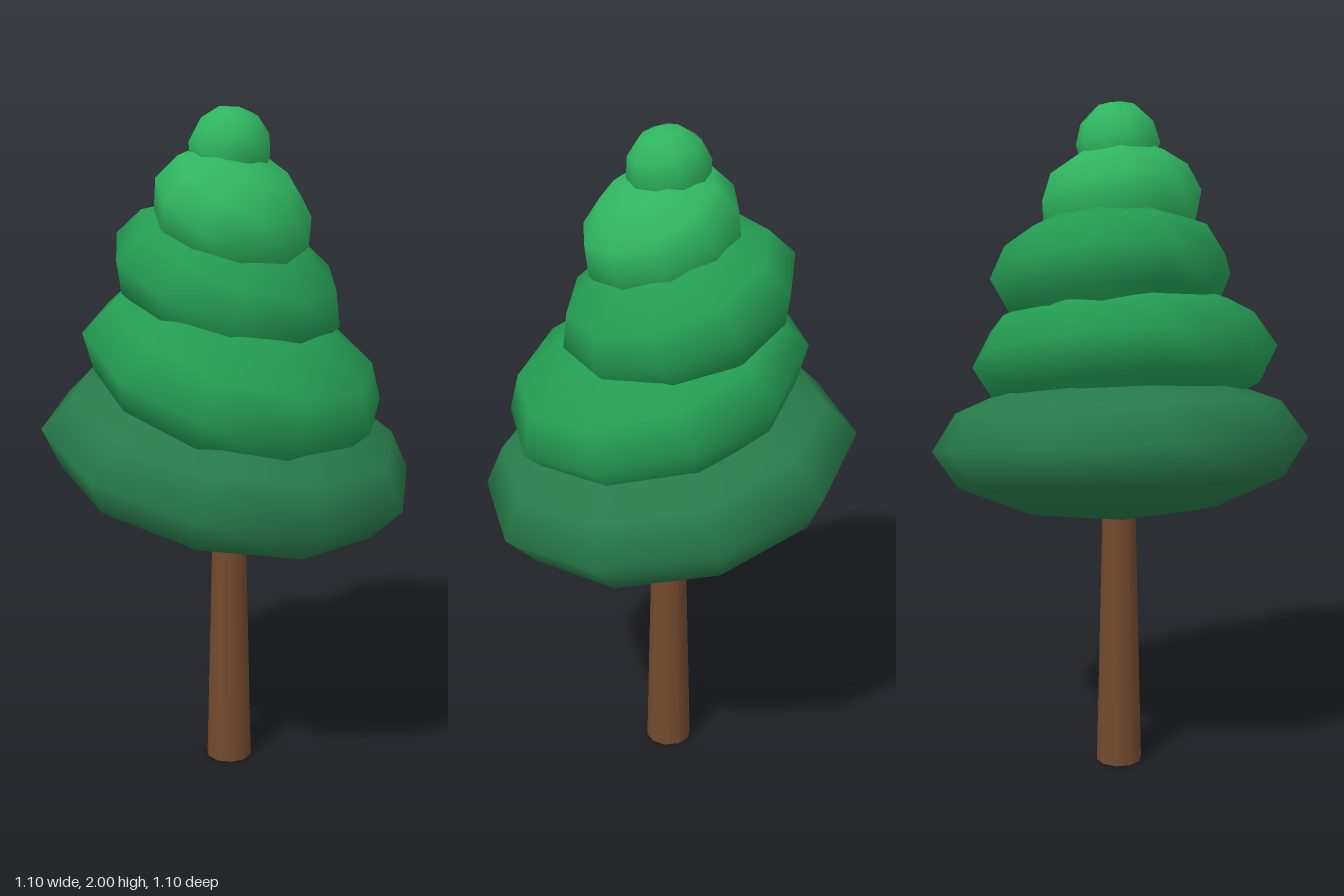
import * as THREE from 'three';

const paint = (name, color) => {
  const m = new THREE.MeshStandardMaterial({ color });
  m.name = name;
  return m;
};

export function createModel() {
  const tree = new THREE.Group();
  tree.name = 'tree';

  const bark = paint('bark brown', 0x734a2e);
  const dark = paint('dark green', 0x277b49);
  const mid = paint('mid green', 0x249b52);
  const light = paint('light green', 0x2fb560);

  // tapering trunk, its top hidden in the lowest tier
  const trunk = new THREE.Mesh(new THREE.CylinderGeometry(0.047, 0.07, 0.95, 10), bark);
  trunk.position.y = 0.475;
  trunk.name = 'trunk';
  tree.add(trunk);

  // squashed spheres: centre, radius, half height, yaw and tilt in degrees
  const blob = new THREE.SphereGeometry(1, 10, 6);
  const tiers = [
    [[0, 1.0, 0], 0.563, 0.225, 5, 12.3, dark],
    [[0.03, 1.26, 0.02], 0.456, 0.211, 3, 19, mid],
    [[-0.02, 1.505, -0.025], 0.355, 0.193, 18, 22, mid],
    [[0.017, 1.705, 0.01], 0.24, 0.176, -8, 28, light],
    [[0, 1.883, -0.003], 0.121, 0.121, 8, 15, light],
  ];
  tiers.forEach(([centre, radius, half, yaw, tilt, material], i) => {
    const tier = new THREE.Mesh(blob, material);
    tier.name = `foliageTier${i + 1}`;
    tier.position.set(...centre);
    tier.scale.set(radius, half, radius);
    // spin about its own axis first, then lean down toward +x
    tier.rotation.set(0, THREE.MathUtils.degToRad(yaw), -THREE.MathUtils.degToRad(tilt), 'ZXY');
    tree.add(tier);
  });

  return tree;
}
